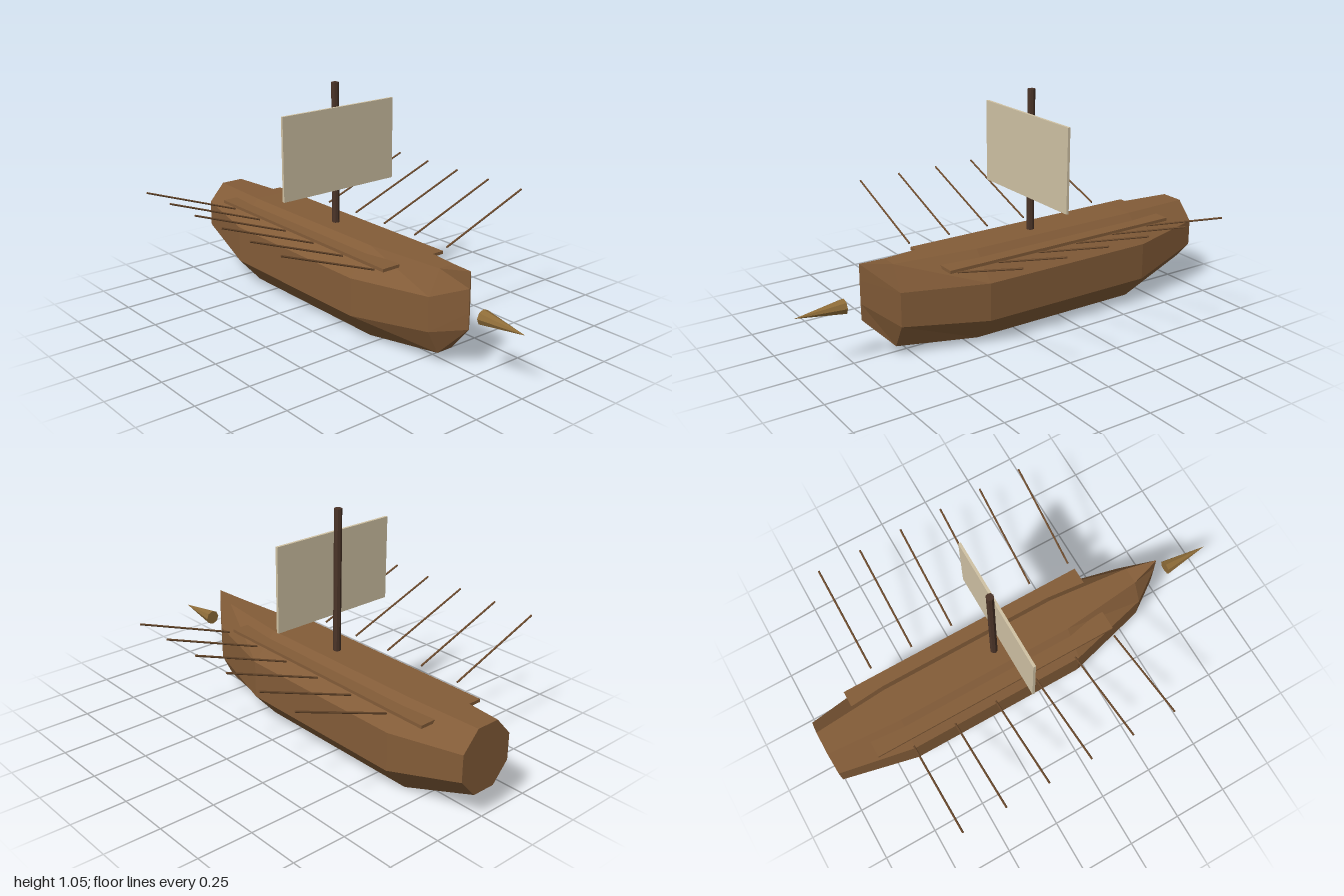
import * as THREE from 'three';

const mat = (name, color) => {
  const m = new THREE.MeshStandardMaterial({ color, flatShading: true });
  m.name = name;
  return m;
};

// Octagonal hull lofted through stations of [z, half width, bottom y, top y]
function hullGeometry(stations) {
  const rings = stations.map(([z, w, y0, y1]) => {
    const ring = [];
    for (let i = 0; i < 8; i++) {
      const a = (i + 0.5) * Math.PI / 4, k = Math.cos(Math.PI / 8);
      ring.push([Math.cos(a) * w / k, (y0 + y1) / 2 + Math.sin(a) * (y1 - y0) / 2 / k, z]);
    }
    return ring;
  });
  const pos = [];
  const tri = (a, b, c) => pos.push(...a, ...b, ...c);
  for (let s = 0; s < rings.length - 1; s++) {
    for (let i = 0; i < 8; i++) {
      const j = (i + 1) % 8, A = rings[s], B = rings[s + 1];
      tri(A[i], A[j], B[j]);
      tri(A[i], B[j], B[i]);
    }
  }
  // Flat stern and narrow stem
  const back = rings[0], front = rings[rings.length - 1];
  for (let i = 1; i < 7; i++) {
    tri(back[0], back[i + 1], back[i]);
    tri(front[0], front[i], front[i + 1]);
  }
  const g = new THREE.BufferGeometry();
  g.setAttribute('position', new THREE.Float32BufferAttribute(pos, 3));
  g.computeVertexNormals();
  return g;
}

export function createModel() {
  const model = new THREE.Group();
  const wood = mat('hull wood', 0x835c38);
  const mastWood = mat('dark mast wood', 0x4a3428);
  const oarWood = mat('oar wood', 0x6e4c2e);
  const canvas = mat('sail canvas', 0xd0c2a4);
  const bronze = mat('bronze', 0x8e6c38);

  const add = (name, geometry, material, x, y, z, parent = model) => {
    const mesh = new THREE.Mesh(geometry, material);
    mesh.name = name;
    mesh.position.set(x, y, z);
    parent.add(mesh);
    return mesh;
  };

  add('hull', hullGeometry([
    [-1, 0.132, 0.12, 0.41],
    [-0.655, 0.19, 0, 0.416],
    [0.19, 0.19, 0, 0.416],
    [0.57, 0.095, 0.045, 0.417],
    [0.705, 0.003, 0.185, 0.435],
  ]), wood, 0, 0, 0);

  // Bronze ram ahead of the bow
  const ram = add('ram', new THREE.ConeGeometry(0.034, 0.22, 8), bronze, 0, 0.266, 0.89);
  ram.rotation.x = Math.PI / 2;

  // Mast and square sail
  add('mast', new THREE.CylinderGeometry(0.017, 0.017, 0.655, 8), mastWood, 0, 0.7275, -0.146);
  add('sail', new THREE.BoxGeometry(0.61, 0.375, 0.012), canvas, 0, 0.763, -0.12);

  // Side walkways and banks of six raised oars
  const oars = new THREE.Group();
  oars.name = 'oars';
  model.add(oars);
  const rise = 0.17, reach = 0.46;
  const oarGeo = new THREE.CylinderGeometry(0.0045, 0.0045, Math.hypot(rise, reach), 6);
  for (const side of [1, -1]) {
    add(side > 0 ? 'leftWalkway' : 'rightWalkway',
      new THREE.BoxGeometry(0.09, 0.014, 1.19), wood, side * 0.123, 0.379, -0.22);
    for (let i = 0; i < 6; i++) {
      const oar = add(side > 0 ? 'leftOar' : 'rightOar', oarGeo, oarWood,
        side * 0.434, 0.474, -0.66 + i * 0.204, oars);
      oar.rotation.z = -side * Math.atan2(reach, rise);
    }
  }
  return model;
}
